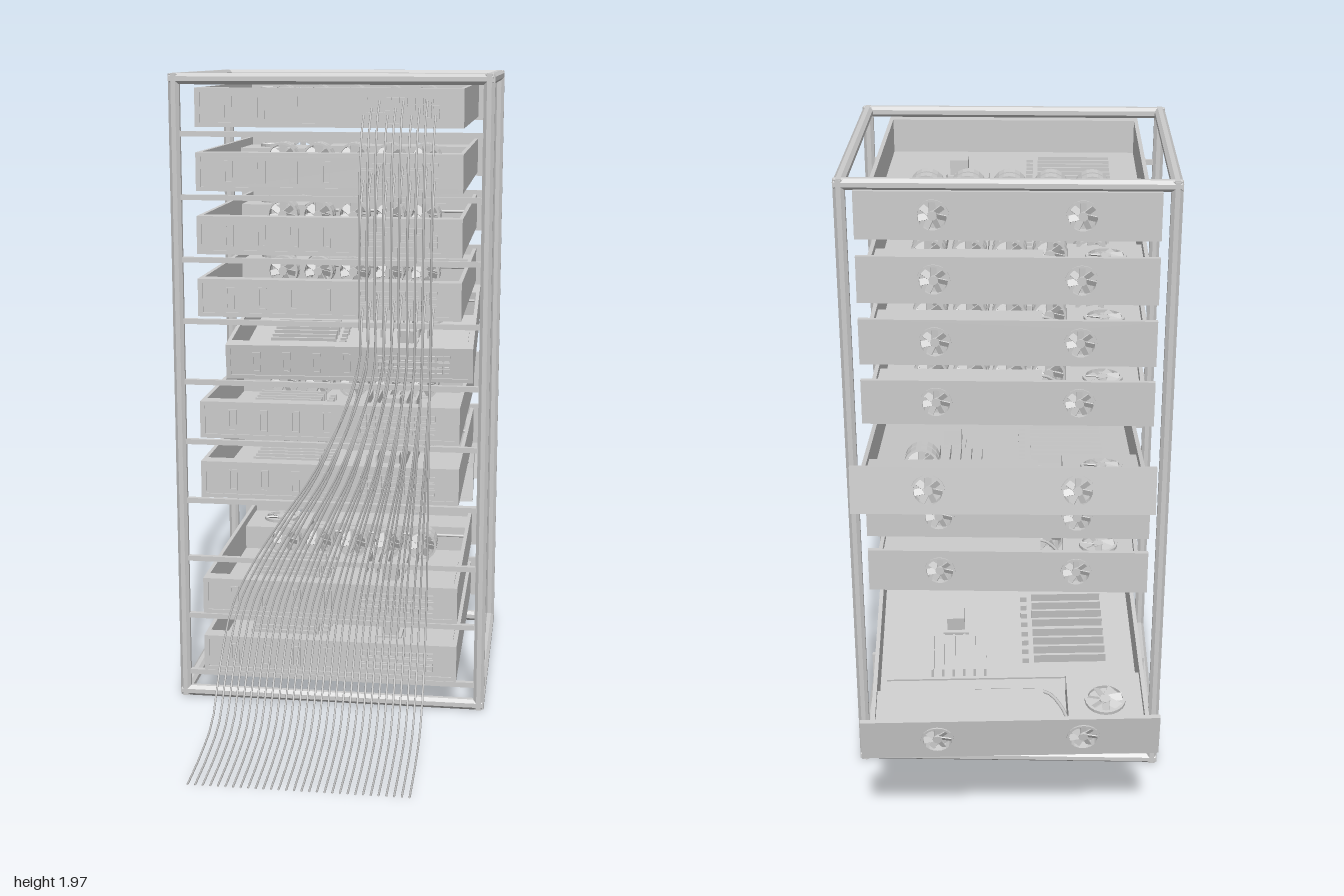
import * as THREE from 'three';

const grey = new THREE.MeshStandardMaterial({ color: 0xcccccc, flatShading: true });
const thin = new THREE.MeshStandardMaterial({ color: 0xcccccc, side: THREE.DoubleSide });

function add(parent, name, geometry, x = 0, y = 0, z = 0, material = grey) {
  const mesh = new THREE.Mesh(geometry, material);
  mesh.name = name;
  mesh.position.set(x, y, z);
  parent.add(mesh);
  return mesh;
}

const box = (parent, name, w, h, d, x, y, z) => add(parent, name, new THREE.BoxGeometry(w, h, d), x, y, z);

function rectangle(path, w, h) {
  path.moveTo(-w / 2, -h / 2);
  path.lineTo(w / 2, -h / 2);
  path.lineTo(w / 2, h / 2);
  path.lineTo(-w / 2, h / 2);
  path.closePath();
  return path;
}

const plate = (shape, depth) => new THREE.ExtrudeGeometry(shape, { depth, bevelEnabled: false, curveSegments: 10 });

// Fan facing along z: ring, hub and pitched blades
function makeFan(radius, depth) {
  const fan = new THREE.Group();
  fan.name = 'fan';
  const ring = new THREE.Shape().absarc(0, 0, radius, 0, Math.PI * 2);
  ring.holes.push(new THREE.Path().absarc(0, 0, radius * 0.86, 0, Math.PI * 2));
  add(fan, 'fanRing', plate(ring, depth), 0, 0, -depth / 2);
  const hub = new THREE.CylinderGeometry(radius * 0.28, radius * 0.28, depth * 0.8, 12).rotateX(Math.PI / 2);
  add(fan, 'fanHub', hub);
  const blade = new THREE.BoxGeometry(radius * 0.4, radius * 0.66, 0.003)
    .rotateY(0.5).translate(0, radius * 0.55, 0);
  for (let i = 0; i < 7; i++) add(fan, 'fanBlade', blade).rotation.z = i * Math.PI * 2 / 7;
  return fan;
}

const W = 0.8, H = 0.115, FRONT = 0.4, BACK = -0.46;
const portX = i => 0.105 + i * 0.0235;
const portY = r => (r - 1) * 0.021;

// Open-topped server, centred in height; fanXs places the inner fans
function makeServer(fanXs) {
  const server = new THREE.Group();
  server.name = 'server';
  const len = FRONT - BACK, mid = (FRONT + BACK) / 2, floor = -H / 2 + 0.01;
  box(server, 'trayFloor', W, 0.01, len, 0, -H / 2 + 0.005, mid);
  for (const s of [-1, 1]) box(server, 'trayWall', 0.012, H, len, s * (W / 2 - 0.006), 0, mid);

  // Front panel with rim, drive slots and port block
  box(server, 'frontPanel', W - 0.02, H, 0.045, 0, 0, FRONT - 0.0275);
  const rim = rectangle(new THREE.Shape(), W, H);
  rim.holes.push(rectangle(new THREE.Path(), W - 0.03, H - 0.025));
  add(server, 'frontRim', plate(rim, 0.008), 0, 0, FRONT - 0.008);
  const slot = rectangle(new THREE.Shape(), 0.026, 0.066);
  slot.holes.push(rectangle(new THREE.Path(), 0.018, 0.058));
  const slotGeometry = plate(slot, 0.006);
  for (let i = 0; i < 4; i++) add(server, 'driveSlot', slotGeometry, -0.3 + i * 0.098, 0, FRONT - 0.006);
  const port = rectangle(new THREE.Shape(), 0.021, 0.018);
  port.holes.push(rectangle(new THREE.Path(), 0.015, 0.012));
  const portGeometry = plate(port, 0.008);
  for (let i = 0; i < 10; i++) for (let r = 0; r < 3; r++)
    add(server, 'port', portGeometry, portX(i), portY(r), FRONT - 0.006);

  // Rear panel with two exhaust fans
  const rear = rectangle(new THREE.Shape(), 0.86, 0.14);
  for (const x of [-0.21, 0.21]) {
    rear.holes.push(new THREE.Path().absarc(x, 0, 0.046, 0, Math.PI * 2));
    const fan = makeFan(0.048, 0.024);
    fan.position.set(x, 0, BACK - 0.006);
    server.add(fan);
  }
  add(server, 'rearPanel', plate(rear, 0.014), 0, 0, BACK - 0.014);

  // Circuit board with memory, cards and processor
  box(server, 'circuitBoard', 0.74, 0.006, 0.51, 0, floor + 0.003, 0.075);
  for (let i = 0; i < 8; i++) {
    const z = -0.11 + i * 0.04 + (i > 3 ? 0.005 : 0);
    box(server, 'memoryStick', 0.22, 0.03, 0.008, -0.19, floor + 0.02, z);
    box(server, 'memoryClip', 0.02, 0.02, 0.012, -0.055, floor + 0.015, z);
  }
  for (let i = 0; i < 6; i++) box(server, 'expansionCard', 0.007, 0.03, 0.16, 0.07 + i * 0.032, floor + 0.02, -0.09);
  box(server, 'processorSocket', 0.08, 0.012, 0.085, 0.16, floor + 0.01, 0.06);
  box(server, 'processorCooler', 0.055, 0.055, 0.06, 0.16, floor + 0.035, 0.06);

  // Row of paired cooling fans
  for (const x of fanXs) for (const z of [-0.252, -0.208]) {
    const fan = makeFan(0.052, 0.034);
    fan.position.set(x, 0.003, z);
    server.add(fan);
  }

  // Power supply with top fan, drive cage and cable
  box(server, 'powerSupply', 0.22, 0.08, 0.2, -0.28, floor + 0.04, -0.345);
  const topFan = makeFan(0.06, 0.012);
  topFan.rotation.x = -Math.PI / 2;
  topFan.position.set(-0.28, floor + 0.084, -0.36);
  server.add(topFan);
  box(server, 'driveCage', 0.49, 0.085, 0.14, 0.145, floor + 0.0425, -0.38);
  const lead = new THREE.CatmullRomCurve3([[-0.17, -0.43], [-0.155, -0.37], [-0.11, -0.3], [0, -0.29], [0.18, -0.292], [0.38, -0.292]]
    .map(([x, z]) => new THREE.Vector3(x, floor + 0.06, z)));
  add(server, 'powerLead', new THREE.TubeGeometry(lead, 24, 0.005, 6), 0, 0, 0, thin);
  return server;
}

// Eight-sided bar between two points
function bar(parent, name, a, b, radius) {
  const from = new THREE.Vector3(...a), dir = new THREE.Vector3(...b).sub(from);
  const geometry = new THREE.CylinderGeometry(radius, radius, dir.length(), 8).rotateY(Math.PI / 8);
  const mesh = add(parent, name, geometry);
  mesh.position.copy(from).addScaledVector(dir, 0.5);
  mesh.quaternion.setFromUnitVectors(new THREE.Vector3(0, 1, 0), dir.normalize());
}

const slotY = i => 1.872 - i * 0.19;

function makeFrame() {
  const frame = new THREE.Group();
  frame.name = 'rackFrame';
  const X = 0.47, Z0 = -0.445, Z1 = 0.36, Y0 = 0.018, Y1 = 1.955, r = 0.018;
  for (const x of [-X, X]) {
    for (const z of [Z0, Z1]) bar(frame, 'post', [x, 0.004, z], [x, Y1 + 0.014, z], r);
    for (const y of [Y0, Y1]) bar(frame, 'sideBar', [x, y, Z0 - 0.012], [x, y, Z1 + 0.012], r);
  }
  for (const y of [Y0, Y1]) for (const z of [Z0, Z1]) bar(frame, 'crossBar', [-X - 0.012, y, z], [X + 0.012, y, z], r);
  for (let i = 0; i < 10; i++) box(frame, 'slotRail', X * 2, 0.016, 0.016, 0, slotY(i) - 0.08, Z1);
  return frame;
}

// Cables drop from three servers, drift sideways and spread over the floor
function makeCables() {
  const cables = new THREE.Group();
  cables.name = 'cables';
  const drop = [[1.5, 0.51], [1.3, 0.505], [1.1, 0.5], [0.8, 0.508], [0.65, 0.49], [0.5, 0.475], [0.35, 0.48], [0.17, 0.55], [0.05, 0.66], [0.015, 0.82], [0.004, 1]];
  const drift = y => 1 - THREE.MathUtils.smoothstep(y, 0.2, 1.15);
  [0, 1, 3].forEach((slot, s) => {
    for (let i = 0; i < 10; i++) {
      const y0 = slotY(slot) + portY(i % 3), x0 = portX(i);
      const x1 = -0.32 + 0.63 * (i * 3 + s) / 29;
      const path = [[y0, FRONT - 0.005], [y0 - 0.05, 0.45], [y0 - 0.15, 0.49],
        ...drop.filter(p => p[0] < y0 - 0.22)];
      const points = path.map(([y, z]) => new THREE.Vector3(
        x0 + (x1 - x0) * drift(y), y, z + (z < 0.6 && z > 0.4 ? (i % 3 - 1) * 0.004 : 0)));
      const curve = new THREE.CatmullRomCurve3(points, false, 'centripetal');
      add(cables, 'cable', new THREE.TubeGeometry(curve, 32, 0.003, 4), 0, 0, 0, thin);
    }
  });
  return cables;
}

export function createModel() {
  const model = new THREE.Group();
  model.name = 'serverRack';
  model.add(makeFrame(), makeCables());

  // Servers in place, leaving two slots for the ones sliding out
  const whole = makeServer([-0.24, -0.12, 0, 0.12, 0.24]);
  for (let i = 0; i < 10; i++) {
    if (i === 4 || i === 7) continue;
    const server = whole.clone();
    server.position.y = slotY(i);
    model.add(server);
  }

  // Two servers pulled out at the back and tilted, most inner fans removed
  const loose = (fans, tilt, yaw, x, y, z) => {
    const server = makeServer(fans);
    server.name = 'looseServer';
    server.rotation.set(tilt, yaw, 0);
    server.position.set(x, y, z);
    model.add(server);
  };
  loose([0.24], 0.135, 0.018, 0.015, 1.102, -0.298);
  loose([], -0.16, 0.043, 0.002, 0.54, -0.493);
  return model;
}
